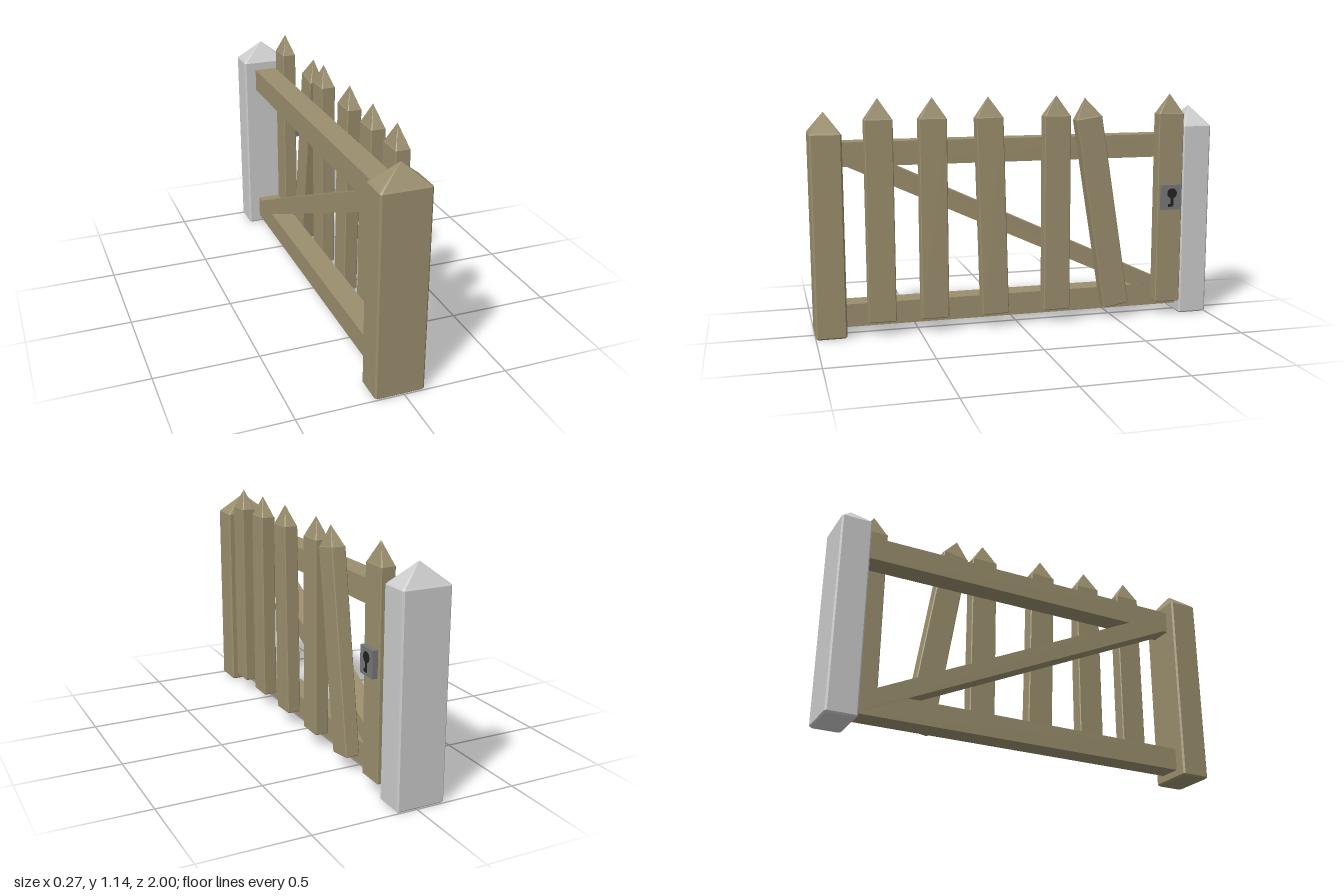
import * as THREE from 'three';

const wood = new THREE.MeshStandardMaterial({ color: 0x9a8e6d, flatShading: true });
const stone = new THREE.MeshStandardMaterial({ color: 0xcccccc, flatShading: true });
const iron = new THREE.MeshStandardMaterial({ color: 0x777777, flatShading: true });
const black = new THREE.MeshStandardMaterial({ color: 0x222222, flatShading: true });

// Chamfered rectangular stake standing on y = 0 with a pyramid point
function stakeGeometry(w, d, shoulder, apex, b) {
  const x = w / 2, z = d / 2;
  const section = [
    [x, z - b], [x, b - z], [x - b, -z], [b - x, -z],
    [-x, b - z], [-x, z - b], [b - x, z], [x - b, z],
  ];
  // Rings: height, and inset from the full outline
  const rings = [[0, b], [b, 0], [shoulder, 0], [shoulder + b, b * 0.8]];
  const pos = [], index = [], n = section.length;
  for (const [y, inset] of rings) {
    for (const [px, pz] of section) pos.push(px * (1 - inset / x), y, pz * (1 - inset / z));
  }
  const bottom = pos.length / 3, tip = bottom + 1;
  pos.push(0, 0, 0, 0, apex, 0);
  const last = (rings.length - 1) * n;
  for (let i = 0; i < n; i++) {
    const j = (i + 1) % n;
    for (let r = 0; r < last; r += n) {
      index.push(r + i, r + j, r + n + j, r + i, r + n + j, r + n + i);
    }
    index.push(bottom, j, i, tip, last + i, last + j);
  }
  const indexed = new THREE.BufferGeometry();
  indexed.setAttribute('position', new THREE.Float32BufferAttribute(pos, 3));
  indexed.setIndex(index);
  const geometry = indexed.toNonIndexed();
  geometry.computeVertexNormals();
  return geometry;
}

// Side profile given as [z, y] points, extruded along x from x0 to x1
function sideExtrude(shape, x0, x1) {
  const geometry = new THREE.ExtrudeGeometry(shape, { depth: x1 - x0, bevelEnabled: false, curveSegments: 10 });
  geometry.rotateY(Math.PI / 2); // shape x becomes -z, depth becomes +x
  geometry.translate(x0, 0, 0);
  return geometry;
}

export function createModel() {
  const group = new THREE.Group();
  const add = (name, geometry, material, x = 0, y = 0, z = 0) => {
    const mesh = new THREE.Mesh(geometry, material);
    mesh.name = name;
    mesh.position.set(x, y, z);
    group.add(mesh);
    return mesh;
  };

  // Two end posts
  const post = stakeGeometry(0.235, 0.148, 0.97, 1.07, 0.008);
  add('hingePost', post, wood, -0.02, 0, 0.926);
  add('latchPost', post, stone, -0.02, 0, -0.926);

  // Horizontal rails
  add('topRail', new THREE.BoxGeometry(0.115, 0.115, 1.72), wood, -0.02, 0.872, 0);
  add('bottomRail', new THREE.BoxGeometry(0.115, 0.112, 1.72), wood, -0.02, 0.096, 0);

  // Diagonal brace, high at the hinge post
  const brace = new THREE.Shape();
  const mid = 0.478, rise = 0.47, half = 0.053, reach = 0.845;
  const braceY = (z, side) => THREE.MathUtils.clamp(mid + rise * z + side * half, 0.045, 0.925);
  brace.moveTo(-reach, braceY(reach, 1));
  brace.lineTo(-reach, braceY(reach, -1));
  brace.lineTo(reach, braceY(-reach, -1));
  brace.lineTo(reach, braceY(-reach, 1));
  add('diagonalBrace', sideExtrude(brace, -0.079, 0.036), wood);

  // Pickets: z of the foot, and lean
  const picket = stakeGeometry(0.07, 0.132, 0.965, 1.065, 0.004);
  const pickets = [[0.684, 0], [0.428, 0], [0.128, 0.027], [-0.185, 0], [-0.5, 0.16], [-0.78, 0]];
  for (const [z, lean] of pickets) {
    add('picket', picket, wood, 0.074, 0.07, z).rotation.x = lean;
  }

  // Lock plate with its keyhole
  add('lockPlate', new THREE.BoxGeometry(0.03, 0.126, 0.105), iron, 0.12, 0.618, -0.78);
  const round = new THREE.Shape().absarc(0, 0.02, 0.026, 0, Math.PI * 2);
  const slot = new THREE.Shape();
  slot.setFromPoints([[-0.007, 0], [-0.007, -0.033], [-0.02, -0.033], [-0.02, -0.048], [0.008, -0.048], [0.008, 0]]
    .map(([x, y]) => new THREE.Vector2(x, y)));
  add('keyhole', sideExtrude([round, slot], 0.13, 0.136), black, 0, 0.618, -0.78);

  return group;
}
